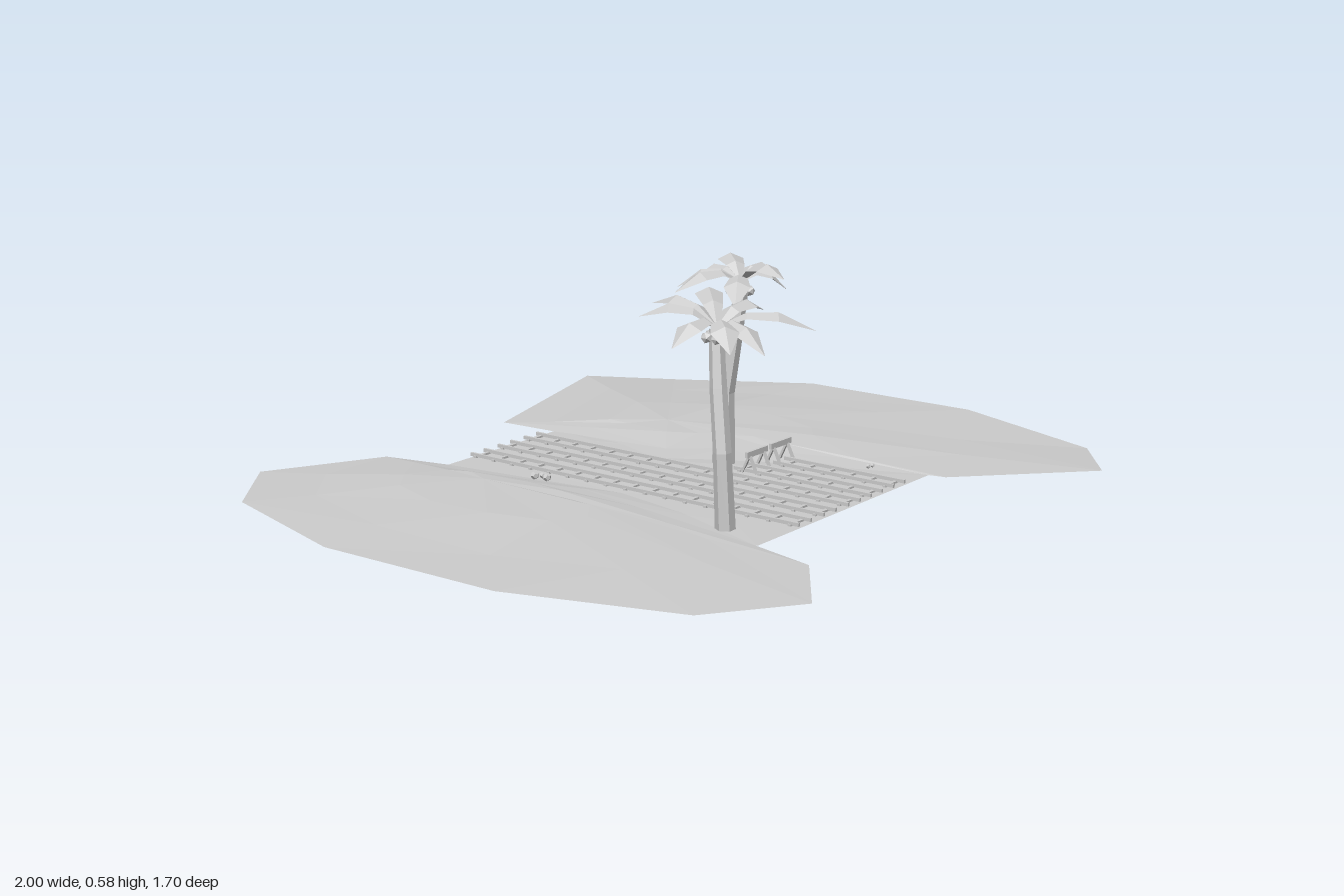
import * as THREE from 'three';

const mat = new THREE.MeshStandardMaterial({ color: 0xcccccc, flatShading: true });
const thin = new THREE.MeshStandardMaterial({ color: 0xcccccc, flatShading: true, side: THREE.DoubleSide });

function add(parent, name, geo, x = 0, y = 0, z = 0, m = mat) {
  const mesh = new THREE.Mesh(geo, m);
  mesh.name = name;
  mesh.position.set(x, y, z);
  parent.add(mesh);
  return mesh;
}

function surface(points, index) {
  const g = new THREE.BufferGeometry();
  g.setAttribute('position', new THREE.Float32BufferAttribute(points.flat(), 3));
  g.setIndex(index);
  g.computeVertexNormals();
  return g;
}

// Thin lens of ground: sharp rim [x, z, y], rising to a top apex and sinking to a bottom apex
function lens(rim, top, bottom) {
  const n = rim.length, pts = rim.map(([x, z, y = 0.042]) => [x, y, z]), idx = [];
  [top, bottom].forEach((apex, side) => {
    const tri = (a, b, c) => (side ? idx.push(a, c, b) : idx.push(a, b, c));
    let outer = 0;
    for (const [t, rise] of [[0.3, 0.3], [0.65, 0.8]]) {
      const start = pts.length;
      for (let i = 0; i < n; i++) {
        const p = pts[i], wob = 0.002 * Math.sin(i * 2.4 + t * 9);
        pts.push([
          p[0] + (apex[0] - p[0]) * t,
          p[1] + (apex[1] - p[1]) * rise + wob,
          p[2] + (apex[2] - p[2]) * t]);
      }
      for (let i = 0; i < n; i++) {
        const j = (i + 1) % n;
        tri(outer + i, outer + j, start + j);
        tri(outer + i, start + j, start + i);
      }
      outer = start;
    }
    pts.push(apex);
    for (let i = 0; i < n; i++) tri(outer + i, outer + (i + 1) % n, pts.length - 1);
  });
  return surface(pts, idx);
}

// Faceted trunk swept through a few [x, y, z, radius] stations
function trunk(stations, sides = 6) {
  const pts = [], idx = [];
  stations.forEach(([x, y, z, r], k) => {
    for (let i = 0; i < sides; i++) {
      const a = (i / sides) * Math.PI * 2;
      pts.push([x + r * Math.cos(a), y, z + r * Math.sin(a)]);
      if (k) {
        const j = (i + 1) % sides, lo = (k - 1) * sides, hi = k * sides;
        idx.push(lo + i, hi + i, hi + j, lo + i, hi + j, lo + j);
      }
    }
  });
  return surface(pts, idx);
}

// Arched, ridged leaf running from the crown out to a tip
function frond(tip) {
  const [tx, ty, tz] = tip, len = Math.hypot(tx, tz);
  const sx = -tz / len, sz = tx / len, pts = [], idx = [];
  [[0, 0.008], [0.3, 0.024], [0.62, 0.034], [1, 0.001]].forEach(([t, w], k) => {
    const y = ty * t + 0.17 * t * (1 - t);
    for (const s of [-1, 0, 1])
      pts.push([tx * t + sx * w * s, y - (s ? w * 0.45 : 0), tz * t + sz * w * s]);
    if (k) for (const c of [0, 1]) {
      const a = (k - 1) * 3 + c, b = k * 3 + c;
      idx.push(a, a + 1, b + 1, a, b + 1, b);
    }
  });
  return surface(pts, idx);
}

function palm(name, stations, crown, tips) {
  const g = new THREE.Group();
  g.name = name;
  add(g, 'trunk', trunk(stations));
  const [cx, cy, cz] = crown;
  for (const [x, z, y] of tips) add(g, 'frond', frond([x - cx, y - cy, z - cz]), cx, cy, cz, thin);
  for (let i = 0; i < 5; i++) {
    const a = i * 1.257;
    add(g, 'coconut', new THREE.IcosahedronGeometry(0.015, 0),
      cx + 0.025 * Math.cos(a), cy - 0.025, cz + 0.025 * Math.sin(a));
  }
  return g;
}

// Plank on two pairs of splayed legs
function barrier(x, z) {
  const g = new THREE.Group();
  g.name = 'barrier';
  g.position.set(x, 0.05, z);
  add(g, 'plank', new THREE.BoxGeometry(0.09, 0.015, 0.008), 0, 0.045, 0);
  for (const sx of [-1, 1]) for (const sz of [-1, 1]) {
    const leg = add(g, 'leg', new THREE.BoxGeometry(0.007, 0.052, 0.006), sx * 0.03, 0.019, sz * 0.011);
    leg.rotation.x = -sz * 0.45;
  }
  return g;
}

export function createModel() {
  const model = new THREE.Group();

  // Ground
  add(model, 'trackBed', lens(
    [[0.36, 0.515], [0.25, 0], [0.13, -0.52], [-0.31, -0.52], [-0.35, 0], [-0.39, 0.515]],
    [0, 0.045, 0], [0, 0, 0.18]));
  add(model, 'rightDune', lens(
    [[-0.24, 0], [-0.31, -0.52], [-0.35, -0.7], [-0.65, -0.855], [-0.865, -0.69], [-1, -0.27],
      [-1, 0.25], [-0.865, 0.69], [-0.65, 0.845], [-0.435, 0.69], [-0.39, 0.51], [-0.29, 0.3]],
    [-0.42, 0.068, -0.3], [-0.45, 0.026, 0]));
  add(model, 'leftDune', lens(
    [[0.995, 0.25], [0.985, -0.27], [0.87, -0.69, 0.015], [0.66, -0.855], [0.1, -0.69], [0.11, -0.52],
      [0.06, -0.1], [0.2, 0.1], [0.28, 0.3], [0.355, 0.51], [0.365, 0.56], [0.66, 0.845], [0.87, 0.69, 0.03]],
    [0.33, 0.064, -0.3], [0.5, 0.018, 0]));

  // Railway tracks: pairs of rails with cross ties; the last two emerge from the dune
  const tracks = [[-0.22, -0.52], [-0.115, -0.52], [-0.01, -0.52], [0.09, 0.1], [0.193, 0.15]];
  for (const [x, z0] of tracks) {
    const g = new THREE.Group();
    g.name = 'track';
    model.add(g);
    const len = 0.515 - z0;
    for (const dx of [0, 0.05])
      add(g, 'rail', new THREE.BoxGeometry(0.007, 0.009, len), x + dx, 0.051, z0 + len / 2);
    for (let z = 0.49; z > z0; z -= 0.062)
      add(g, 'tie', new THREE.BoxGeometry(0.064, 0.005, 0.009), x + 0.025, 0.047, z);
  }

  // Palms
  model.add(palm('rightPalm',
    [[-0.33, 0.04, 0.38, 0.025], [-0.337, 0.23, 0.375, 0.022], [-0.322, 0.38, 0.352, 0.021], [-0.308, 0.515, 0.335, 0.017]],
    [-0.305, 0.52, 0.335],
    [[-0.484, 0.34, 0.5], [-0.4, 0.18, 0.54], [-0.297, 0.14, 0.55], [-0.14, 0.174, 0.56],
      [-0.125, 0.34, 0.53], [-0.168, 0.52, 0.51], [-0.345, 0.5, 0.48], [-0.42, 0.457, 0.49]]));
  model.add(palm('leftPalm',
    [[0.124, 0.04, 0.04, 0.03], [0.135, 0.23, 0.036, 0.025], [0.148, 0.38, 0.055, 0.022], [0.165, 0.515, 0.068, 0.017]],
    [0.165, 0.52, 0.06],
    [[-0.015, -0.01, 0.51], [0.083, -0.078, 0.5], [0.206, -0.104, 0.5], [0.275, -0.07, 0.54],
      [0.315, 0.061, 0.51], [0.264, 0.136, 0.49], [0.12, 0.227, 0.55], [0.04, 0.136, 0.48]]));

  // Barriers and scattered stones
  model.add(barrier(0.117, 0.15), barrier(0.222, 0.15));
  const stones = [[-0.282, -0.25, 0.011], [-0.268, -0.235, 0.009], [-0.276, -0.215, 0.011],
    [0.3, 0.37, 0.007], [0.312, 0.375, 0.006]];
  for (const [x, z, r] of stones)
    add(model, 'stone', new THREE.DodecahedronGeometry(r, 0), x, 0.054, z);

  return model;
}
